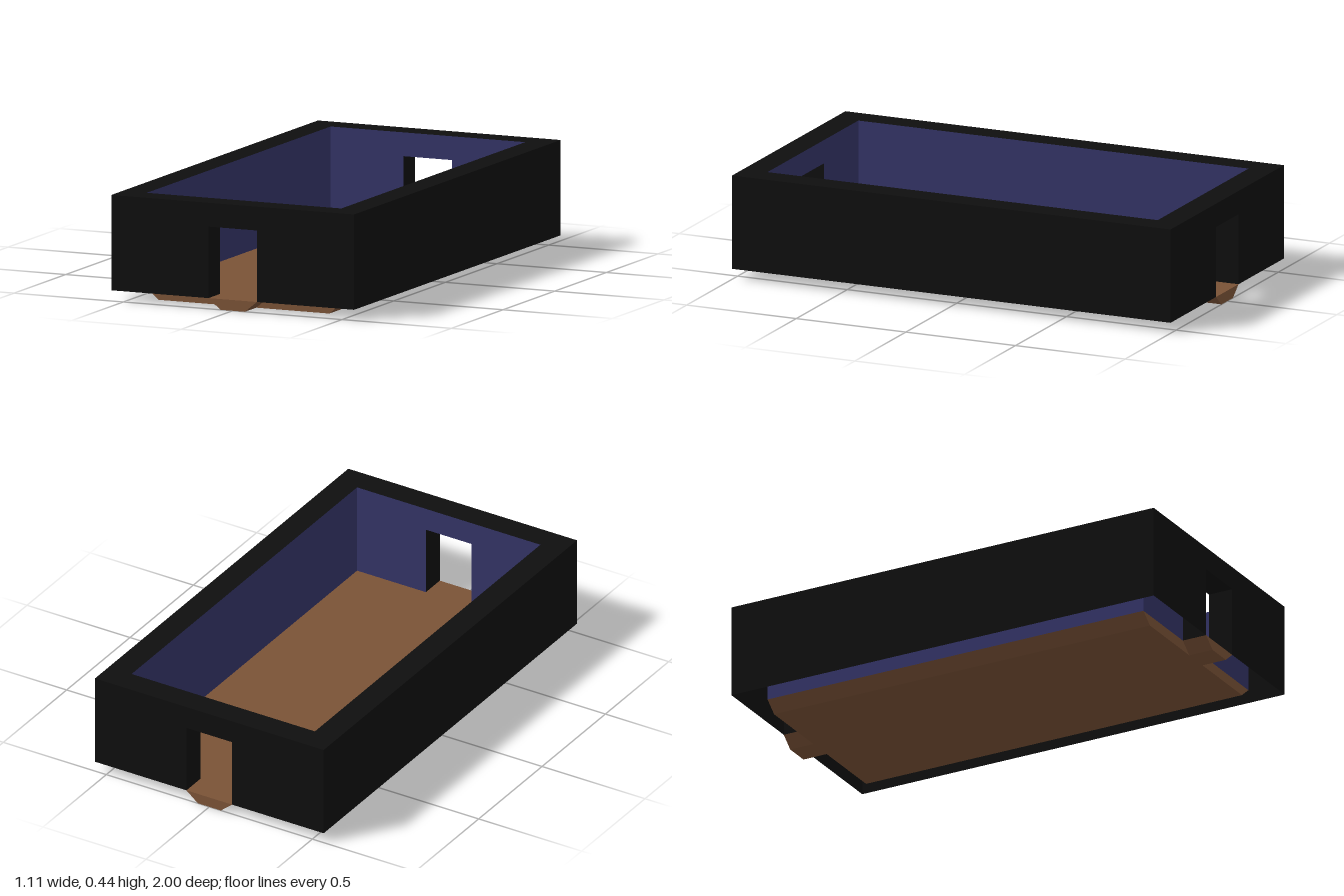
import * as THREE from 'three';

const OX = 0.555, OZ = 1;          // outer half width and half length
const IX = 0.445, IZ = 0.89;       // inner half width and half length
const FLOOR = 0.045, TOP = 0.445;  // floor level and wall top
const DOOR = 0.111, DOOR_TOP = 0.345;

export function createModel() {
  const model = new THREE.Group();
  model.name = 'room';
  const make = (name, color) => {
    const m = new THREE.MeshStandardMaterial({ color, side: THREE.DoubleSide });
    m.name = name;
    return m;
  };
  const black = make('black wall', 0x0e0e0e);
  const blue = make('dark blue lining', 0x333366);
  const brown = make('brown floor', 0x7a5236);

  const add = (name, geometry, material, x = 0, y = 0, z = 0) => {
    const mesh = new THREE.Mesh(geometry, material);
    mesh.name = name;
    mesh.position.set(x, y, z);
    model.add(mesh);
    return mesh;
  };
  const shape = (pts) => new THREE.Shape(pts.map(([x, y]) => new THREE.Vector2(x, y)));
  const rect = (x, z) => [[-x, -z], [x, -z], [x, z], [-x, z]];

  // End wall outline with a doorway notched into its lower edge
  const endWall = (half) => new THREE.ShapeGeometry(shape([
    [-half, FLOOR], [-DOOR, FLOOR], [-DOOR, DOOR_TOP], [DOOR, DOOR_TOP],
    [DOOR, FLOOR], [half, FLOOR], [half, TOP], [-half, TOP],
  ]));

  const wallY = (FLOOR + TOP) / 2, wallH = TOP - FLOOR;
  const doorH = DOOR_TOP - FLOOR, depth = OZ - IZ;

  for (const s of [1, -1]) {
    const turn = s > 0 ? 0 : Math.PI;
    // End walls: outer skin and inner lining
    add('outerEndWall', endWall(OX), black, 0, 0, s * OZ).rotation.y = turn;
    add('innerEndWall', endWall(IX), blue, 0, 0, s * IZ).rotation.y = Math.PI - turn;
    // Side walls: outer skin and inner lining
    add('outerSideWall', new THREE.PlaneGeometry(2 * OZ, wallH), black, s * OX, wallY, 0)
      .rotation.y = s * Math.PI / 2;
    add('innerSideWall', new THREE.PlaneGeometry(2 * IZ, wallH), blue, s * IX, wallY, 0)
      .rotation.y = -s * Math.PI / 2;
    // Doorway reveal: two jambs and the underside of the lintel
    const mid = s * (OZ + IZ) / 2;
    for (const side of [1, -1]) {
      add('doorJamb', new THREE.PlaneGeometry(depth, doorH), black,
        side * DOOR, FLOOR + doorH / 2, mid).rotation.y = -side * Math.PI / 2;
    }
    add('doorLintel', new THREE.PlaneGeometry(2 * DOOR, depth), black, 0, DOOR_TOP, mid)
      .rotation.x = Math.PI / 2;
  }

  // Flat rim closing the top of the hollow walls; their bottom stays open
  const rim = shape(rect(OX, OZ));
  rim.holes.push(new THREE.Path(rect(IX, IZ).map(([x, y]) => new THREE.Vector2(x, y))));
  add('wallRim', new THREE.ShapeGeometry(rim), black, 0, TOP, 0).rotation.x = -Math.PI / 2;

  // Floor slab and door sills: trapezoid sections with sloped sides
  const slab = (half, length) => new THREE.ExtrudeGeometry(shape([
    [-half + 0.055, 0], [half - 0.055, 0], [half, FLOOR], [-half, FLOOR],
  ]), { depth: length, bevelEnabled: false });
  add('floorSlab', slab(IX, 2 * IZ), brown, 0, 0, -IZ);
  add('frontSill', slab(DOOR, depth), brown, 0, 0, IZ);
  add('backSill', slab(DOOR, depth), brown, 0, 0, -OZ);

  return model;
}
